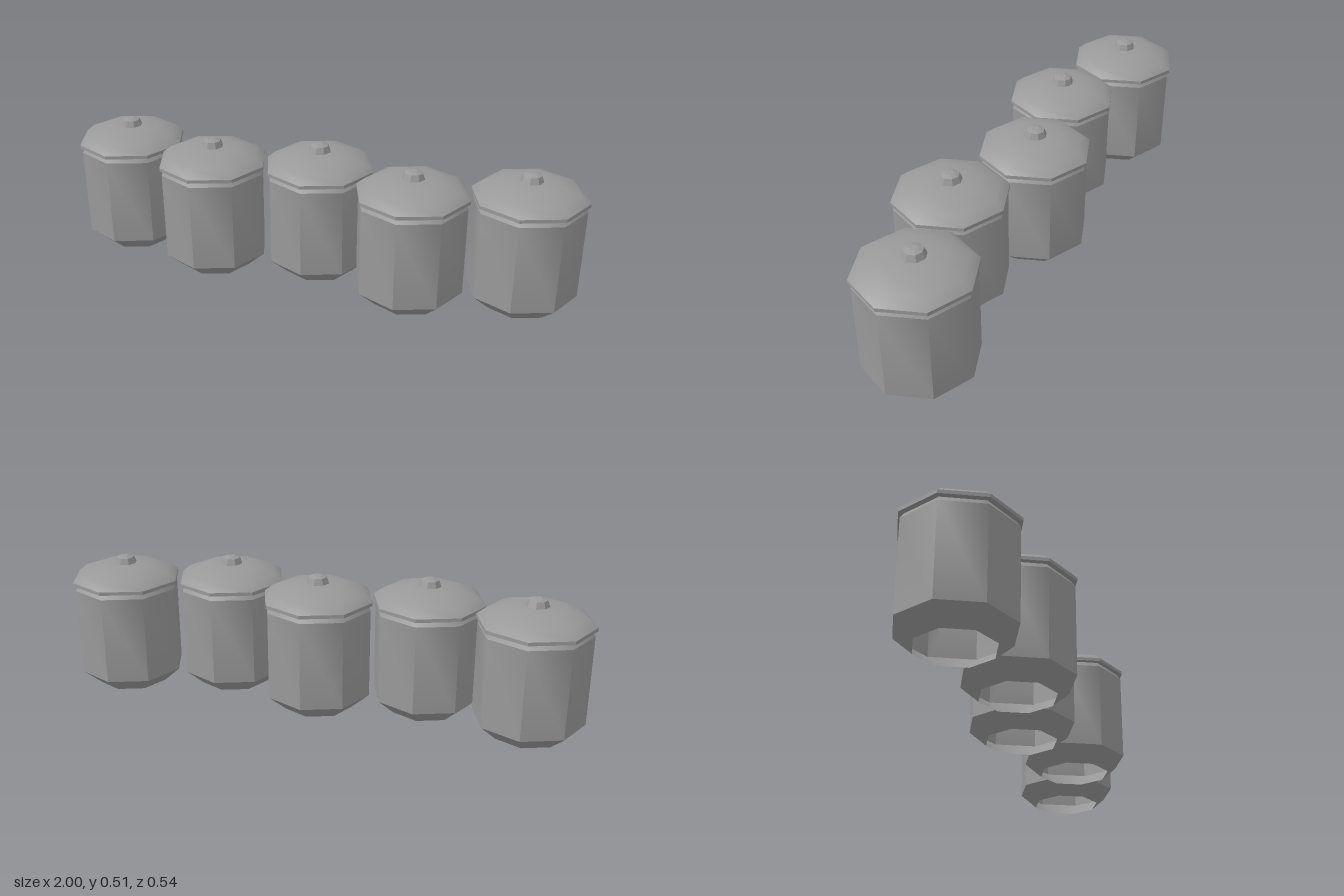
import * as THREE from 'three';
import { toCreasedNormals } from 'three/addons/utils/BufferGeometryUtils.js';

const SIDES = 8;

// Eight-sided turned surface from [radius, height] pairs, listed bottom to top
const turned = (pairs) =>
  new THREE.LatheGeometry(pairs.map(([r, y]) => new THREE.Vector2(r, y)), SIDES);

// Same, with every facet flat
const faceted = (pairs) => toCreasedNormals(turned(pairs), 0.1);

// Wall whose facets are crisp at the base and blend into a round at the top
function wallGeometry(r, y0, y1) {
  const geo = turned([[r, y0], [r, y1]]).toNonIndexed();
  const flat = geo.clone();
  flat.computeVertexNormals();
  const p = geo.attributes.position, n = geo.attributes.normal, f = flat.attributes.normal;
  for (let i = 0; i < p.count; i++) {
    if (p.getY(i) < (y0 + y1) / 2) n.setXYZ(i, f.getX(i), f.getY(i), f.getZ(i));
  }
  return geo;
}

export function createModel() {
  const model = new THREE.Group();
  model.name = 'canisterRow';

  const grey = new THREE.MeshStandardMaterial({ color: 0x999999, side: THREE.DoubleSide });
  grey.name = 'grey';

  // Parts shared by every canister; the base is open underneath
  const parts = {
    base: turned([[0.137, 0], [0.203, 0.059]]),
    wall: wallGeometry(0.203, 0.059, 0.397),
    shoulder: turned([[0.203, 0.397], [0.19, 0.417]]),
    lidRim: faceted([[0.188, 0.417], [0.21, 0.417], [0.21, 0.43]]),
    lidDome: turned([[0.21, 0.43], [0.177, 0.457], [0.107, 0.48], [0.04, 0.485], [0, 0.486]]),
    knob: faceted([[0.043, 0.485], [0.034, 0.508]]),
    knobCap: faceted([[0.034, 0.508], [0.015, 0.514], [0, 0.514]]),
  };

  // Staggered row, [x, z] of each canister
  const spots = [[-0.79, -0.036], [-0.393, 0.048], [0.004, -0.05], [0.397, 0.062], [0.79, -0.063]];
  spots.forEach(([x, z], i) => {
    const canister = new THREE.Group();
    canister.name = `canister${i + 1}`;
    for (const [name, geometry] of Object.entries(parts)) {
      const mesh = new THREE.Mesh(geometry, grey);
      mesh.name = name;
      canister.add(mesh);
    }
    canister.position.set(x, 0, z);
    model.add(canister);
  });

  return model;
}
